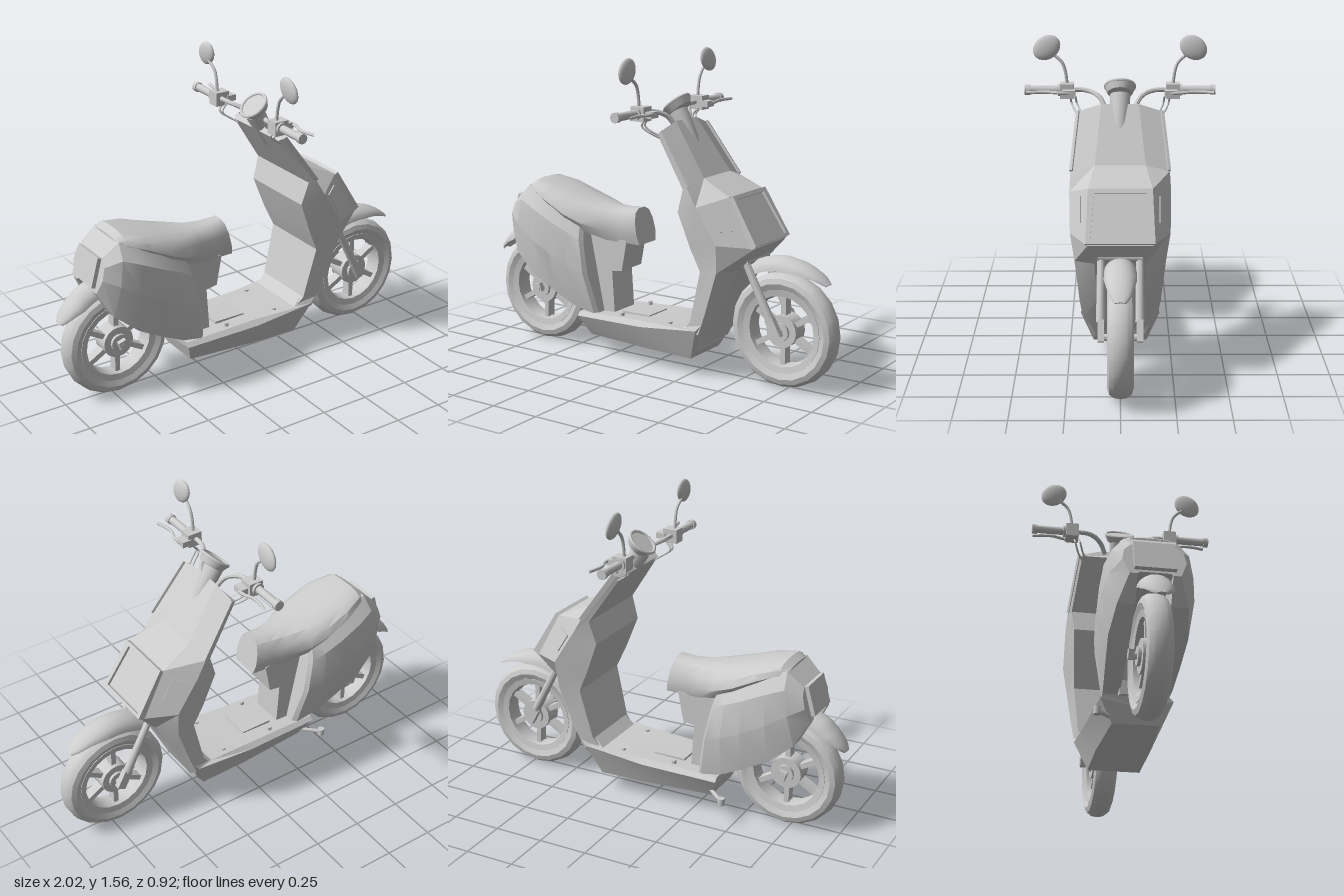
import * as THREE from 'three';
import { toCreasedNormals } from 'three/addons/utils/BufferGeometryUtils.js';

const V = (x, y, z = 0) => new THREE.Vector3(x, y, z);
const grey = new THREE.MeshStandardMaterial({ color: 0xcccccc });

function add(parent, name, geo, crease = 0.6) {
  const mesh = new THREE.Mesh(crease ? toCreasedNormals(geo, crease) : geo, grey);
  mesh.name = name;
  parent.add(mesh);
  return mesh;
}

// Skin a row of closed rings, cap both ends and turn the faces outward
function loft(rings) {
  const tris = [], n = rings[0].length;
  for (let i = 0; i + 1 < rings.length; i++)
    for (let j = 0; j < n; j++) {
      const k = (j + 1) % n, [a, b, c, d] = [rings[i][j], rings[i][k], rings[i + 1][k], rings[i + 1][j]];
      tris.push([a, b, c], [a, c, d]);
    }
  [rings[0], rings[rings.length - 1]].forEach((r, end) => {
    const mid = r.reduce((s, p) => s.add(p), V(0, 0)).divideScalar(n);
    for (let j = 0; j < n; j++) {
      const a = r[j], b = r[(j + 1) % n];
      tris.push(end ? [a, b, mid] : [b, a, mid]);
    }
  });
  const volume = tris.reduce((s, [a, b, c]) => s + a.dot(b.clone().cross(c)), 0);
  const pts = tris.flatMap(t => (volume < 0 ? [t[0], t[2], t[1]] : t));
  const geo = new THREE.BufferGeometry().setFromPoints(pts);
  geo.computeVertexNormals();
  return geo;
}

// Half outline (z >= 0) to a full symmetric ring
const mirrorRing = half => [...half, ...half.filter(p => p.z > 0).reverse().map(p => V(p.x, p.y, -p.z))];

// Side outline extruded across the width
function slab(points, halfWidth) {
  const shape = new THREE.Shape(points.map(p => new THREE.Vector2(...p)));
  return new THREE.ExtrudeGeometry(shape, { depth: 2 * halfWidth, bevelEnabled: false }).translate(0, 0, -halfWidth);
}

const tube = (points, r, seg = 12) =>
  new THREE.TubeGeometry(new THREE.CatmullRomCurve3(points.map(p => V(...p))), seg, r, 8);

// Cylinder between two points
function rod(a, b, r, r2 = r, sides = 12) {
  const p = V(...a), q = V(...b), dir = q.clone().sub(p);
  const geo = new THREE.CylinderGeometry(r2, r, dir.length(), sides);
  geo.applyQuaternion(new THREE.Quaternion().setFromUnitVectors(V(0, 1), dir.clone().normalize()));
  return geo.translate(...p.add(q).multiplyScalar(0.5).toArray());
}

// Thin raised panel on the part u0..u1, v0..v1 of a four-cornered face
function panel([a, b, c, d], u0, u1, v0, v1, t, side = 1) {
  const at = (u, v) => a.clone().lerp(b, u).lerp(d.clone().lerp(c, u), v);
  const quad = [at(u0, v0), at(u1, v0), at(u1, v1), at(u0, v1)];
  const n = quad[1].clone().sub(quad[0]).cross(quad[3].clone().sub(quad[0])).setLength(t);
  return loft([-1, 1].map(s => quad.map(p => p.clone().addScaledVector(n, s).multiply(V(1, 1, side)))));
}

function wheel(name, x) {
  const g = new THREE.Group();
  g.name = name;
  const lathe = pts => new THREE.LatheGeometry(pts.map(p => new THREE.Vector2(...p)), 20).rotateX(Math.PI / 2);
  add(g, 'tyre', lathe([[0.2, -0.045], [0.235, -0.06], [0.26, -0.052], [0.276, -0.03], [0.281, 0], [0.276, 0.03],
    [0.26, 0.052], [0.235, 0.06], [0.2, 0.045], [0.2, -0.045]]), 0.5);
  add(g, 'rim', lathe([[0.174, -0.045], [0.206, -0.051], [0.206, 0.051], [0.174, 0.045], [0.165, 0], [0.174, -0.045]]));
  add(g, 'hub', rod([0, 0, -0.045], [0, 0, 0.045], 0.08, 0.08, 16));
  add(g, 'hubCap', rod([0, 0, -0.06], [0, 0, 0.06], 0.045));
  add(g, 'axle', rod([0, 0, -0.1], [0, 0, 0.1], 0.016));
  for (let i = 0; i < 6; i++)
    add(g, 'spoke', new THREE.BoxGeometry(0.11, 0.026, 0.05).translate(0.122, 0, 0).rotateZ(Math.PI * (i / 3 + 1 / 6)));
  g.position.set(x, 0.29, 0);
  return g;
}

// Arched mudguard that tapers toward its first angle
function fender(cx, from, to) {
  const rings = [];
  for (let i = 0; i <= 12; i++) {
    const t = i / 12, a = THREE.MathUtils.degToRad(from + (to - from) * t), k = Math.min(1, 0.35 + Math.sqrt(t));
    const ring = [], base = 0.332 - 0.033 * Math.min(1, t * 2), h = 0.012 + 0.05 * Math.min(1, t * 1.8);
    for (let j = 0; j <= 20; j++) {
      const inner = j > 10, b = Math.PI * (inner ? 20 - j : j) / 10, s = inner ? 0.88 : 1;
      const r = base + h * s * Math.sin(b);
      ring.push(V(cx + r * Math.cos(a), 0.29 + r * Math.sin(a), 0.075 * k * s * Math.cos(b)));
    }
    rings.push(ring);
  }
  return loft(rings);
}

export function createModel() {
  const model = new THREE.Group();
  model.name = 'scooter';
  model.add(wheel('frontWheel', 0.72), wheel('rearWheel', -0.72));
  add(model, 'frontFender', fender(0.72, 48, 120), 0.9);
  add(model, 'rearFender', fender(-0.72, 150, 105), 0.9);

  // Leg shield: front, side and rear corner of each level as x, y, half width
  const levels = [
    [[0.15, 1.255, 0.09], [0.135, 1.215, 0.205], [0.11, 1.2, 0.19]],
    [[0.33, 1.0, 0.12], [0.31, 0.965, 0.235], [0.275, 0.955, 0.22]],
    [[0.49, 0.93, 0.15], [0.36, 0.88, 0.24], [0.24, 0.84, 0.21]],
    [[0.63, 0.7, 0.15], [0.47, 0.71, 0.235], [0.305, 0.67, 0.2]],
    [[0.53, 0.58, 0.12], [0.46, 0.57, 0.215], [0.355, 0.56, 0.19]],
    [[0.42, 0.36, 0.11], [0.385, 0.35, 0.195], [0.29, 0.3, 0.175]],
    [[0.33, 0.17, 0.11], [0.34, 0.24, 0.18], [0.24, 0.24, 0.16]],
  ].map(l => l.map(p => V(...p)));
  add(model, 'legShield', loft(levels.map(mirrorRing)), 0.3);

  // Headlight: sloped frame with a recessed lens
  const light = new THREE.Group();
  light.name = 'headlight';
  const frame = new THREE.Shape([[-0.15, 0.13], [-0.16, -0.13], [0.16, -0.13], [0.15, 0.13]].map(p => new THREE.Vector2(...p)));
  frame.holes.push(new THREE.Path([[-0.12, 0.11], [0.12, 0.11], [0.138, -0.115], [-0.138, -0.115]].map(p => new THREE.Vector2(...p))));
  add(light, 'headlightFrame', new THREE.ExtrudeGeometry(frame, { depth: 0.035, bevelEnabled: false }).translate(0, 0, -0.015));
  add(light, 'headlightLens', new THREE.BoxGeometry(0.29, 0.24, 0.014));
  light.rotation.set(-Math.atan2(0.14, 0.23), Math.PI / 2, 0, 'YXZ');
  light.position.set(0.56, 0.815, 0);
  model.add(light);

  // Floor board: top, side and bottom corner at each station
  add(model, 'floorBoard', loft([
    [[-0.4, 0.235, 0.15], [-0.4, 0.215, 0.17], [-0.355, 0.11, 0.11]],
    [[0.0, 0.25, 0.16], [0.0, 0.225, 0.185], [0.0, 0.102, 0.13]],
    [[0.24, 0.255, 0.165], [0.33, 0.26, 0.19], [0.265, 0.095, 0.13]],
    [[0.29, 0.3, 0.15], [0.365, 0.3, 0.185], [0.3, 0.14, 0.12]],
  ].map(s => mirrorRing(s.map(p => V(...p))))), 0.3);
  add(model, 'floorHatch', new THREE.BoxGeometry(0.17, 0.012, 0.16).translate(-0.1, 0.25, 0));

  // Rear body: stations of bottom x, top x, bottom y, top y, three half widths, wheel well height
  const rear = [
    [-0.29, -0.385, 0.235, 0.69, 0.13, 0.17, 0.13, 0.24], [-0.31, -0.4, 0.235, 0.71, 0.15, 0.19, 0.14, 0.24],
    [-0.42, -0.46, 0.26, 0.75, 0.16, 0.207, 0.14, 0.3],
    [-0.54, -0.55, 0.32, 0.79, 0.17, 0.217, 0.15, 0.58], [-0.68, -0.66, 0.4, 0.84, 0.18, 0.215, 0.14, 0.61],
    [-0.8, -0.74, 0.5, 0.855, 0.16, 0.19, 0.12, 0.61], [-0.865, -0.82, 0.62, 0.785, 0.115, 0.145, 0.1, 0.63],
  ].map(([xb, xt, yb, yt, wb, wm, wt, well]) => {
    const at = (f, w) => V(xb + (xt - xb) * f, yb + (yt - yb) * f, w);
    return mirrorRing([at((well - yb) / (yt - yb), 0.08), at(0, 0.08), at(0, wb), at(0.45, wm), at(0.8, wm * 0.93), at(1, wt)]);
  });
  add(model, 'rearBody', loft(rear), 0.35);
  add(model, 'tailLight', new THREE.BoxGeometry(0.03, 0.15, 0.19).rotateZ(-0.27).translate(-0.845, 0.715, 0));
  add(model, 'seatBase', slab([[-0.42, 0.23], [-0.225, 0.23], [-0.24, 0.455], [-0.18, 0.465], [-0.15, 0.62], [-0.42, 0.67]], 0.085));

  // Seat: stations of top x, bottom x, top y, bottom y, half width
  add(model, 'seat', loft([
    [-0.745, -0.745, 0.862, 0.83, 0.11], [-0.71, -0.71, 0.885, 0.815, 0.14], [-0.6, -0.6, 0.862, 0.77, 0.178],
    [-0.48, -0.48, 0.825, 0.7, 0.18], [-0.38, -0.38, 0.8, 0.655, 0.165], [-0.27, -0.27, 0.78, 0.617, 0.115],
    [-0.19, -0.19, 0.778, 0.61, 0.095], [-0.115, -0.08, 0.785, 0.607, 0.085],
  ].map(([xt, xb, yt, yb, w]) => mirrorRing([[0, 0], [0, 0.85], [0.3, 1], [0.65, 0.92], [0.9, 0.68], [1, 0.3], [1, 0]]
    .map(([f, k]) => V(xb + (xt - xb) * f, yb + (yt - yb) * f, w * k))))), 0.7);

  // Steering: column, instrument and front fork crown
  add(model, 'steeringColumn', rod([0.19, 1.13, 0], [0.1, 1.29, 0], 0.04, 0.05));
  add(model, 'forkCrown', rod([0.545, 0.62, -0.105], [0.545, 0.62, 0.105], 0.025));
  const up = V(-0.64, 0.77).multiplyScalar(0.018), c = V(0.105, 1.315);
  add(model, 'instrument', rod(c.clone().sub(up).toArray(), c.clone().add(up).toArray(), 0.06, 0.077, 24));
  const bezel = new THREE.TorusGeometry(0.07, 0.008, 8, 24).rotateX(-Math.PI / 2).rotateZ(0.69);
  add(model, 'instrumentBezel', bezel.translate(c.x + up.x, c.y + up.y, 0));

  // Paired parts
  for (const s of [1, -1]) {
    const name = s > 0 ? 'left' : 'right';
    add(model, name + 'Indicator', panel([levels[2][0], levels[2][1], levels[3][1], levels[3][0]], 0.35, 0.88, 0.12, 0.65, 0.006, s));
    add(model, name + 'ShieldTrim', panel([levels[0][0], levels[0][1], levels[1][1], levels[1][0]], 0.9, 1.02, 0, 1, 0.012, s));
    add(model, name + 'ForkLeg', rod([0.685, 0.35, 0.09 * s], [0.53, 0.65, 0.09 * s], 0.022, 0.017));
    add(model, name + 'ForkFoot', new THREE.BoxGeometry(0.045, 0.1, 0.03).rotateZ(0.5).translate(0.705, 0.315, 0.09 * s));
    add(model, name + 'AxleNut', new THREE.BoxGeometry(0.04, 0.045, 0.025).rotateZ(0.3).translate(-0.72, 0.295, 0.085 * s));
    add(model, name + 'Handlebar', tube([[0.13, 1.23, 0.07 * s], [0.1, 1.28, 0.1 * s], [0.06, 1.303, 0.16 * s], [0.055, 1.305, 0.28 * s]], 0.012));
    add(model, name + 'Grip', rod([0.055, 1.305, 0.26 * s], [0.055, 1.305, 0.44 * s], 0.02));
    add(model, name + 'GripEnd', rod([0.055, 1.305, 0.435 * s], [0.055, 1.305, 0.46 * s], 0.025));
    add(model, name + 'GripCollar', rod([0.055, 1.305, 0.285 * s], [0.055, 1.305, 0.3 * s], 0.03));
    add(model, name + 'SwitchBox', new THREE.BoxGeometry(0.075, 0.07, 0.065).translate(0.06, 1.303, 0.255 * s));
    add(model, name + 'LeverMount', new THREE.BoxGeometry(0.05, 0.03, 0.06).translate(0.11, 1.3, 0.245 * s));
    add(model, name + 'BrakeLever', tube([[0.125, 1.3, 0.23 * s], [0.135, 1.305, 0.29 * s], [0.115, 1.305, 0.35 * s], [0.12, 1.305, 0.41 * s], [0.13, 1.305, 0.45 * s]], 0.008));
    add(model, name + 'MirrorStem', tube([[0.05, 1.33, 0.255 * s], [0.05, 1.4, 0.265 * s], [0.05, 1.44, 0.28 * s], [0.045, 1.48, 0.325 * s]], 0.008));
    add(model, name + 'Mirror', new THREE.SphereGeometry(1, 20, 14).scale(0.02, 0.056, 0.07)
      .rotateX(0.6 * s).rotateZ(0.08).translate(0.05, 1.51, 0.352 * s), 0);
    for (const d of [0, 0.025])
      add(model, name + 'Cable', tube([[0.08, 1.28, (0.24 - d) * s], [0.05, 1.24, (0.235 - d) * s], [0.09, 1.205, (0.215 - d) * s], [0.15, 1.17, (0.17 - d) * s]], 0.005));
    for (const x of [-0.15, 0.14])
      add(model, name + 'FloorBolt', rod([x, 0.24, 0.125 * s], [x, 0.262, 0.125 * s], 0.012));
  }

  // Side stand
  add(model, 'sideStand', rod([-0.33, 0.145, -0.1], [-0.44, 0.133, -0.185], 0.01));
  add(model, 'sideStandFoot', rod([-0.445, 0.115, -0.19], [-0.445, 0.15, -0.19], 0.018));
  return model;
}
